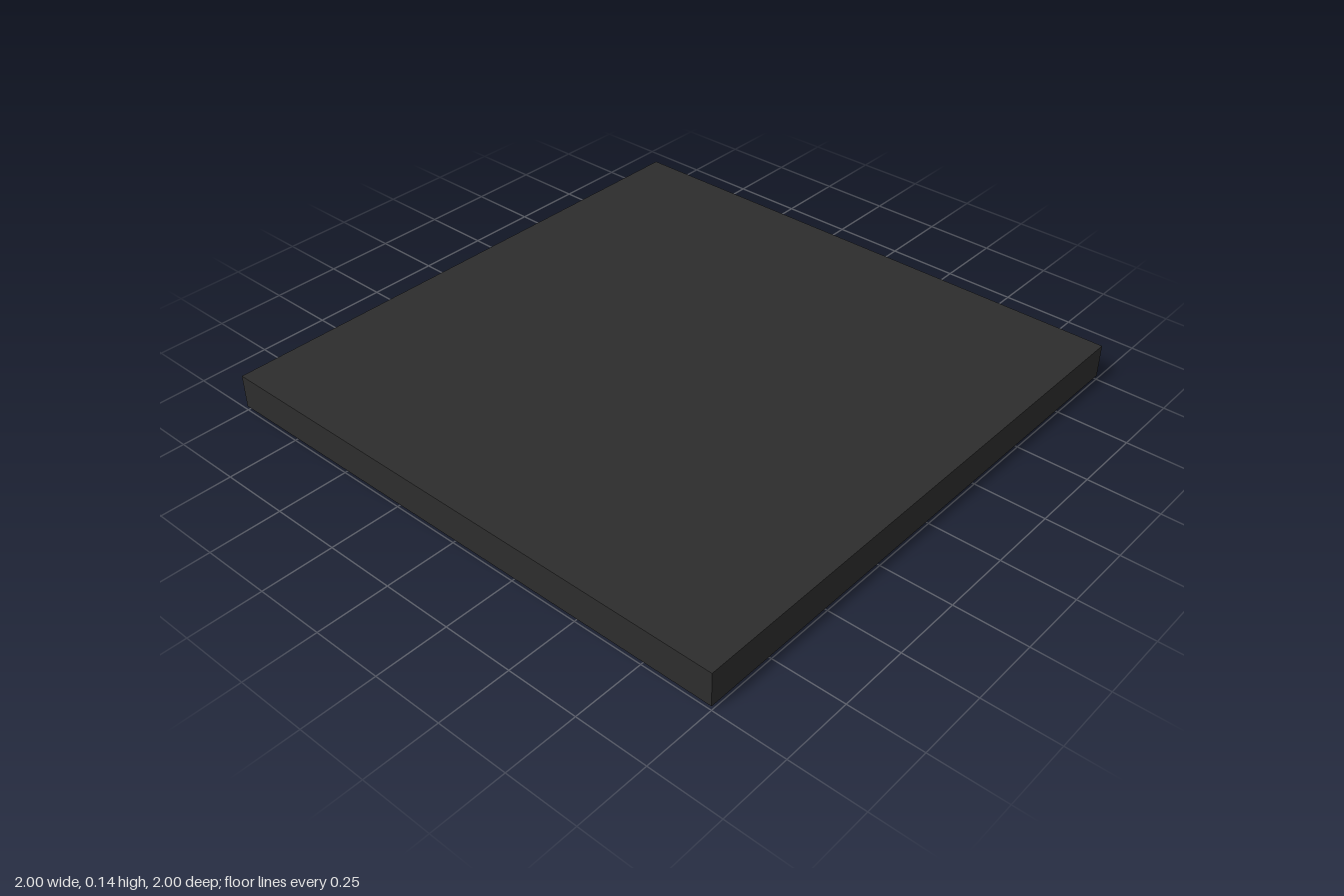
import * as THREE from 'three';

export function createModel() {
  const model = new THREE.Group();
  const mat = (name, color) => {
    const m = new THREE.MeshStandardMaterial({ color });
    m.name = name;
    return m;
  };
  const charcoal = mat('charcoal', 0x2d2d2d);
  const frameGrey = mat('frame grey', 0x2a2c2f);
  const lens = mat('blue grey lens', 0x909eba);
  const steel = mat('steel', 0x9aa0a8);

  const add = (name, geometry, material, x = 0, y = 0, z = 0) => {
    const mesh = new THREE.Mesh(geometry, material);
    mesh.name = name;
    mesh.position.set(x, y, z);
    model.add(mesh);
    return mesh;
  };
  // Box between two heights
  const slab = (name, material, w, y0, y1, d, x = 0, z = 0) =>
    add(name, new THREE.BoxGeometry(w, y1 - y0, d), material, x, (y0 + y1) / 2, z);

  // Rectangular plate with a rectangular hole, between two heights
  const trace = (path, w, d) =>
    path.moveTo(-w / 2, -d / 2).lineTo(w / 2, -d / 2).lineTo(w / 2, d / 2).lineTo(-w / 2, d / 2).closePath();
  const ring = (name, material, w, d, holeW, holeD, y0, y1) => {
    const shape = trace(new THREE.Shape(), w, d);
    shape.holes.push(trace(new THREE.Path(), holeW, holeD));
    const geometry = new THREE.ExtrudeGeometry(shape, { depth: y1 - y0, bevelEnabled: false });
    add(name, geometry.rotateX(-Math.PI / 2), material, 0, y0, 0);
  };

  // Panel: closed top, body with a central well, shallow rim underneath
  slab('panelTop', charcoal, 2, 0.1, 0.135, 2);
  ring('panelBody', charcoal, 2, 2, 1.4, 0.28, 0.024, 0.1);
  ring('panelRim', charcoal, 2, 2, 1.72, 1.72, 0.015, 0.024);

  // Raised frame round the well, with the lit plate deep inside
  ring('wellFrame', frameGrey, 1.5, 0.38, 1.4, 0.28, 0, 0.024);
  slab('wellLens', lens, 1.4, 0.092, 0.1, 0.28);

  // Bars dividing the well into four windows
  for (const x of [-0.35, 0, 0.35]) slab('windowBar', frameGrey, 0.03, 0, 0.024, 0.28, x);

  // Fixing studs along the front and back edges
  for (const z of [-0.93, 0.93])
    for (const x of [-0.93, -0.3, 0.3, 0.93]) slab('stud', steel, 0.04, 0.006, 0.016, 0.04, x, z);

  // Small box in the front left corner
  slab('cornerBox', charcoal, 0.12, 0.008, 0.025, 0.12, 0.78, 0.78);

  return model;
}
